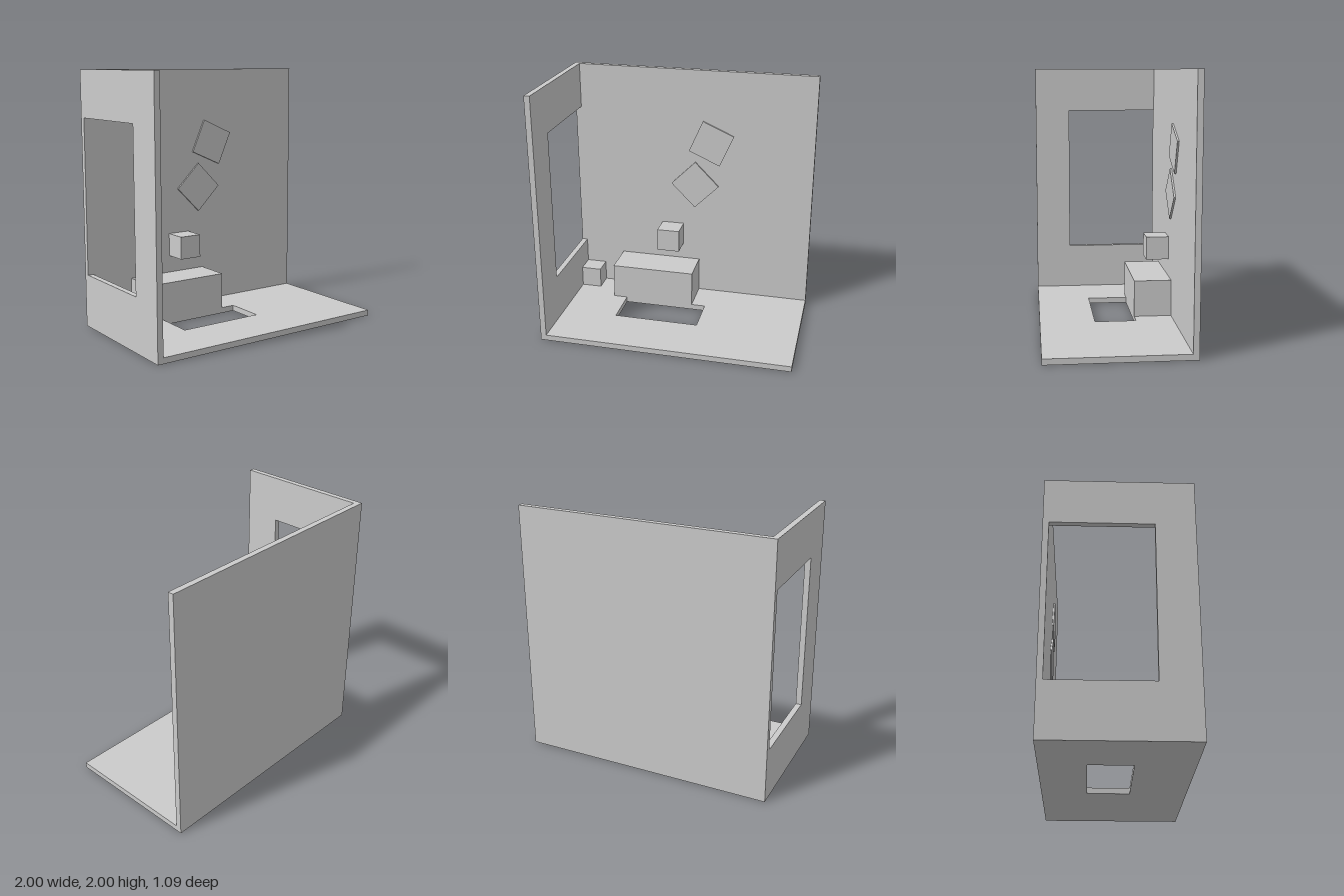
import * as THREE from 'three';

const T = 0.045;        // wall and floor thickness
const D = 0.547;        // half depth of the room
const BACK = -D + T;    // inner face of the back wall
const LEFT = -1 + T;    // inner face of the side wall

export function createModel() {
  const group = new THREE.Group();
  const material = new THREE.MeshStandardMaterial({ color: 0xcccccc, flatShading: true });

  const add = (name, geometry) => {
    const mesh = new THREE.Mesh(geometry, material);
    mesh.name = name;
    group.add(mesh);
    return mesh;
  };
  // Box given by its minimum and maximum corners
  const block = (name, x0, x1, y0, y1, z0, z1) =>
    add(name, new THREE.BoxGeometry(x1 - x0, y1 - y0, z1 - z0)
      .translate((x0 + x1) / 2, (y0 + y1) / 2, (z0 + z1) / 2));
  const points = (list) => list.map(([x, y]) => new THREE.Vector2(x, y));
  const slab = (shape) => new THREE.ExtrudeGeometry(shape, { depth: T, bevelEnabled: false });

  // Back wall
  block('backWall', -1, 1, 0, 2, -D, BACK);

  // Side wall, its window opening reaching back to the back wall
  const side = new THREE.Shape(points([
    [BACK, 0], [D, 0], [D, 2], [BACK, 2],
    [BACK, 1.637], [0.254, 1.637], [0.254, 0.417], [BACK, 0.417],
  ]));
  add('sideWall', slab(side).rotateY(-Math.PI / 2).translate(LEFT, 0, 0));

  // Floor with a rectangular opening in front of the bench
  const floor = new THREE.Shape(points([[LEFT, -D], [1, -D], [1, -BACK], [LEFT, -BACK]]));
  floor.holes.push(new THREE.Path(points([
    [-0.508, -0.117], [-0.508, 0.206], [0.177, 0.206], [0.177, -0.117],
  ])));
  add('floor', slab(floor).rotateX(-Math.PI / 2));

  // Furniture against the back wall
  block('bench', -0.62, 0.065, T, 0.335, BACK, -0.206);
  block('cornerBox', LEFT, -0.79, T, 0.213, BACK, -0.342);
  block('wallBox', -0.26, -0.075, 0.475, 0.66, BACK, -0.32);

  // Tilted square panels on the back wall
  for (const [name, x, y, degrees] of [
    ['lowerPanel', 0.024, 1.025, 44.8],
    ['upperPanel', 0.158, 1.395, -23.9],
  ]) {
    const panel = add(name, new THREE.BoxGeometry(0.284, 0.284, 0.014));
    panel.position.set(x, y, BACK + 0.007);
    panel.rotation.z = THREE.MathUtils.degToRad(degrees);
  }

  return group;
}
